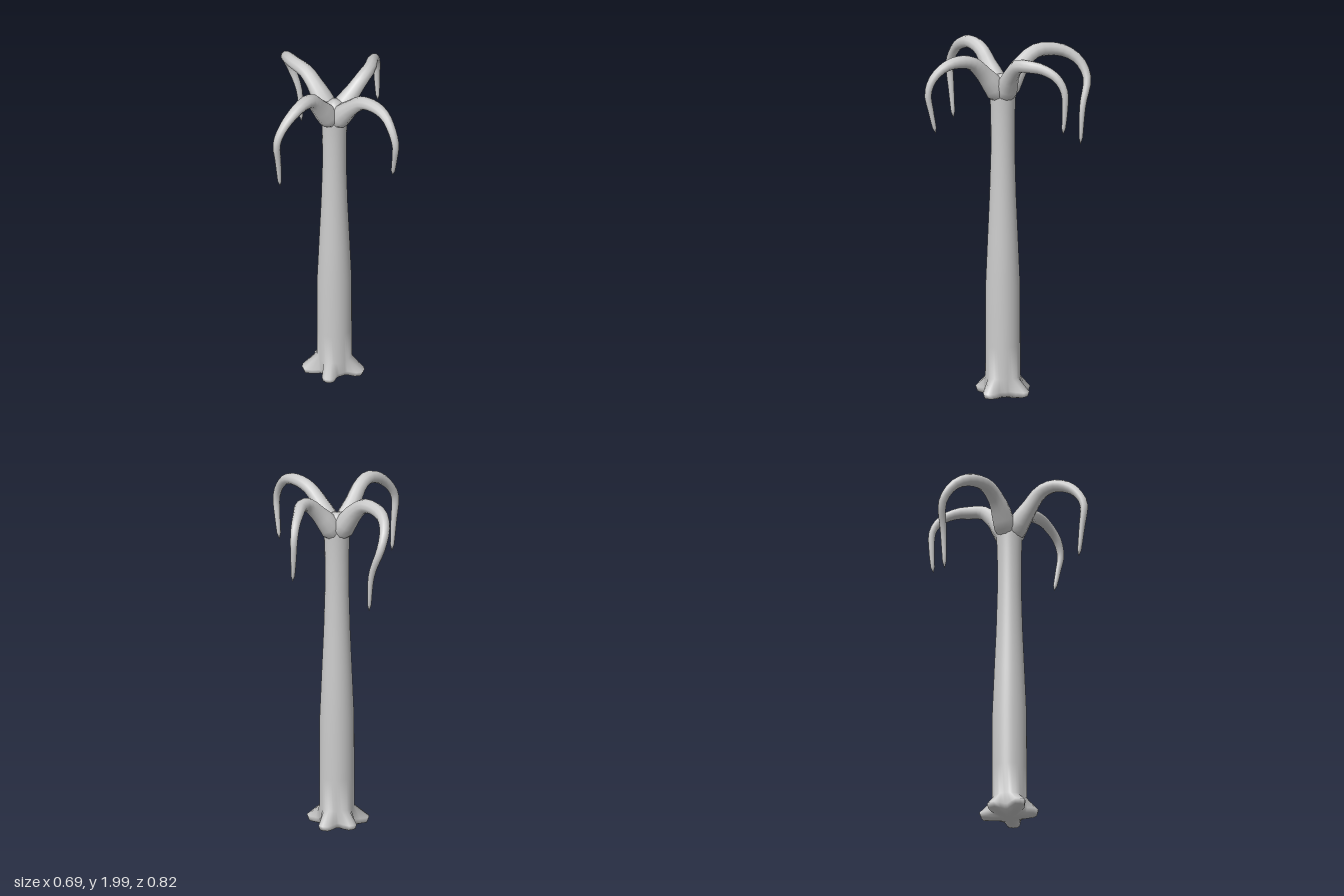
import * as THREE from 'three';
import { mergeVertices } from 'three/addons/utils/BufferGeometryUtils.js';

const material = new THREE.MeshStandardMaterial({ color: 0xcccccc });
const CX = -0.015, CZ = 0.03; // trunk axis

// Weld the seams and give smooth normals
function smooth(geometry) {
  geometry.deleteAttribute('uv');
  geometry.deleteAttribute('normal');
  const welded = mergeVertices(geometry, 1e-4);
  welded.computeVertexNormals();
  return welded;
}

// Trunk: a lathe whose lowest rings are pushed out into five stubby roots
function trunkGeometry() {
  const profile = [
    [0, 0.005], [0.05, 0.008], [0.09, 0.022], [0.1, 0.05], [0.097, 0.12], [0.096, 0.3],
    [0.095, 0.64], [0.084, 0.9], [0.073, 1.15], [0.066, 1.4], [0.067, 1.6],
    [0.071, 1.7], [0.074, 1.75], [0.066, 1.79], [0.04, 1.825], [0, 1.835],
  ].map(([r, y]) => new THREE.Vector2(r, y));
  const geometry = new THREE.LatheGeometry(profile, 40);
  const roots = [[21, 0.075], [104, 0.06], [170, 0.08], [234, 0.06], [297, 0.07]];
  const p = geometry.attributes.position;
  for (let i = 0; i < p.count; i++) {
    const x = p.getX(i), y = p.getY(i), z = p.getZ(i);
    const r = Math.hypot(x, z), angle = Math.atan2(z, x);
    let push = 0;
    for (const [deg, reach] of roots) {
      const a = angle - THREE.MathUtils.degToRad(deg);
      const d = Math.atan2(Math.sin(a), Math.cos(a));
      push += reach * Math.exp(-Math.pow(d / 0.33, 4));
    }
    const level = Math.max(0, 1 - Math.max(0, y - 0.05) / 0.07);
    const k = r > 1e-5 ? 1 + push * level * Math.min(1, r / 0.09) / r : 1;
    p.setXYZ(i, CX + x * k, y, CZ + z * k);
  }
  return smooth(geometry);
}

// Limb: a tube whose rings are scaled to taper along the path
const radii = [0.03, 0.062, 0.056, 0.045, 0.04, 0.037, 0.034, 0.029, 0.025, 0.022, 0.019, 0.016, 0.013, 0.01];
function limbGeometry(points) {
  const path = [[CX, 1.68, CZ], ...points].map((q) => new THREE.Vector3(...q));
  const curve = new THREE.CatmullRomCurve3(path, false, 'centripetal');
  const segments = 26, sides = 10;
  const geometry = new THREE.TubeGeometry(curve, segments, 1, sides, false);
  const p = geometry.attributes.position, v = new THREE.Vector3();
  for (let i = 0; i <= segments; i++) {
    const u = i / segments, centre = curve.getPointAt(u);
    const f = u * (radii.length - 1), k = Math.min(Math.floor(f), radii.length - 2);
    let r = THREE.MathUtils.lerp(radii[k], radii[k + 1], f - k);
    if (i === segments) r = 0;
    for (let j = 0; j <= sides; j++) {
      const n = i * (sides + 1) + j;
      v.fromBufferAttribute(p, n).sub(centre).multiplyScalar(r).add(centre);
      p.setXYZ(n, v.x, v.y, v.z);
    }
  }
  return smooth(geometry);
}

// Paths from the crown outwards, over the arch and down to the drooping tip
const limbs = {
  frontLeftLimb: [[0.025, 1.765, 0.07], [0.075, 1.85, 0.12], [0.14, 1.925, 0.175], [0.21, 1.945, 0.24],
    [0.265, 1.93, 0.3], [0.305, 1.87, 0.36], [0.325, 1.79, 0.385], [0.32, 1.69, 0.37], [0.308, 1.56, 0.345]],
  frontRightLimb: [[-0.055, 1.765, 0.07], [-0.1, 1.86, 0.125], [-0.14, 1.94, 0.18], [-0.185, 1.963, 0.245],
    [-0.25, 1.93, 0.315], [-0.3, 1.87, 0.36], [-0.327, 1.8, 0.385], [-0.32, 1.66, 0.375], [-0.31, 1.49, 0.36]],
  backLeftLimb: [[0.025, 1.765, 0], [0.085, 1.85, -0.035], [0.145, 1.92, -0.085], [0.18, 1.93, -0.155],
    [0.19, 1.92, -0.23], [0.205, 1.88, -0.31], [0.213, 1.81, -0.355], [0.215, 1.7, -0.36], [0.22, 1.565, -0.35]],
  backRightLimb: [[-0.055, 1.765, -0.005], [-0.11, 1.86, -0.05], [-0.17, 1.925, -0.115], [-0.235, 1.93, -0.19],
    [-0.275, 1.91, -0.27], [-0.285, 1.86, -0.345], [-0.265, 1.77, -0.395], [-0.215, 1.62, -0.38], [-0.2, 1.4, -0.37]],
};

export function createModel() {
  const group = new THREE.Group();
  const add = (name, geometry) => {
    const mesh = new THREE.Mesh(geometry, material);
    mesh.name = name;
    group.add(mesh);
  };
  add('trunk', trunkGeometry());
  for (const [name, points] of Object.entries(limbs)) add(name, limbGeometry(points));
  return group;
}
